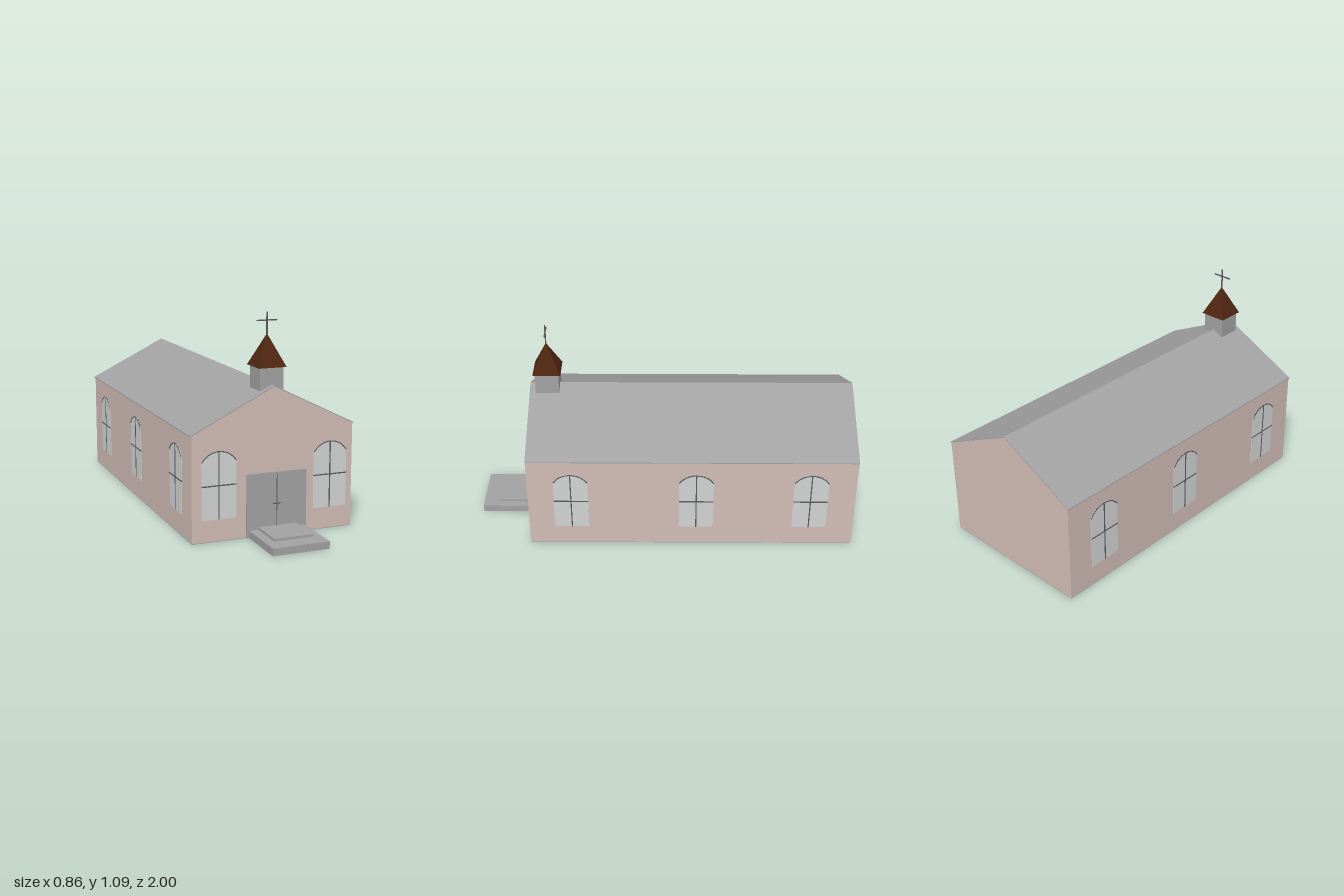
import * as THREE from 'three';

const mat = (name, color, side = THREE.FrontSide) => {
  const m = new THREE.MeshStandardMaterial({ color, side });
  m.name = name;
  return m;
};

export function createModel() {
  const church = new THREE.Group();
  church.name = 'church';

  const pink = mat('wall pink', 0xd2bdb6);
  const grey = mat('stone grey', 0xa3a2a3);
  const pale = mat('window pale grey', 0xd2d3d3);
  const dark = mat('frame dark grey', 0x5a5a5c);
  const brown = mat('spire brown', 0x4f2611);

  const add = (parent, name, geometry, material, x = 0, y = 0, z = 0) => {
    const mesh = new THREE.Mesh(geometry, material);
    mesh.name = name;
    mesh.position.set(x, y, z);
    parent.add(mesh);
    return mesh;
  };
  // Box given by its lower and upper corners
  const box = (parent, name, material, [x0, y0, z0], [x1, y1, z1]) =>
    add(parent, name, new THREE.BoxGeometry(x1 - x0, y1 - y0, z1 - z0), material,
      (x0 + x1) / 2, (y0 + y1) / 2, (z0 + z1) / 2);
  const extrude = (shape, depth) =>
    new THREE.ExtrudeGeometry(shape, { depth, bevelEnabled: false, curveSegments: 16 });
  const polygon = (points) => new THREE.Shape(points.map(([x, y]) => new THREE.Vector2(x, y)));

  const W = 0.425, EAVE = 0.531, RIDGE = 0.741, BACK = -1, FRONT = 0.71;
  const LENGTH = FRONT - BACK;

  // Gabled hall on a thin floor slab
  const hall = polygon([[-W, 0.003], [W, 0.003], [W, EAVE], [0, RIDGE], [-W, EAVE]]);
  add(church, 'walls', extrude(hall, LENGTH), pink, 0, 0, BACK);
  box(church, 'floor', grey, [-W, 0, BACK], [W, 0.003, FRONT]);

  // Thin roof sheet with a tiny overhang at the eaves
  const E = W + 0.006, t = 0.005, drop = 0.003;
  const sheet = polygon([[-E, EAVE - drop], [0, RIDGE], [E, EAVE - drop],
    [E, EAVE - drop + t], [0, RIDGE + t], [-E, EAVE - drop + t]]);
  add(church, 'roof', extrude(sheet, LENGTH), grey, 0, 0, BACK);

  // Arched window, facing +z before its group is turned
  const HALF = 0.09, SILL = 0.112, SPRING = 0.4, TOP = 0.45;
  const rise = TOP - SPRING;
  const R = (HALF * HALF + rise * rise) / (2 * rise);
  const CY = TOP - R;
  const a0 = Math.asin((SPRING - CY) / R), a1 = Math.PI - a0;
  const paneShape = new THREE.Shape();
  paneShape.moveTo(-HALF, SILL);
  paneShape.lineTo(HALF, SILL);
  paneShape.lineTo(HALF, SPRING);
  paneShape.absarc(0, CY, R, a0, a1, false);
  paneShape.lineTo(-HALF, SILL);
  const archShape = new THREE.Shape();
  archShape.absarc(0, CY, R, a0, a1, false);
  archShape.absarc(0, CY, R - 0.005, a1, a0, true);
  const paneGeometry = extrude(paneShape, 0.003);
  const archGeometry = extrude(archShape, 0.005);

  const addWindow = (name, x, z, turn) => {
    const win = new THREE.Group();
    win.name = name;
    add(win, 'pane', paneGeometry, pale);
    add(win, 'archFrame', archGeometry, dark);
    box(win, 'mullion', dark, [-0.003, SILL, 0], [0.003, TOP - 0.002, 0.005]);
    box(win, 'crossBar', dark, [-HALF, 0.277, 0], [HALF, 0.283, 0.005]);
    win.position.set(x, 0, z);
    win.rotation.y = turn;
    church.add(win);
  };
  addWindow('frontWindowRight', -0.287, FRONT, 0);
  addWindow('frontWindowLeft', 0.303, FRONT, 0);
  for (const z of [0.484, -0.17, -0.766]) {
    addWindow('sideWindowLeft', W, z, Math.PI / 2);
    addWindow('sideWindowRight', -W, z, -Math.PI / 2);
  }

  // Double door with handles
  const DX = 0.015;
  box(church, 'door', grey, [DX - 0.159, 0, FRONT], [DX + 0.159, 0.32, FRONT + 0.008]);
  box(church, 'doorGap', dark, [DX - 0.002, 0.05, FRONT], [DX + 0.002, 0.31, FRONT + 0.009]);
  for (const s of [-1, 1]) {
    const handle = new THREE.Group();
    handle.name = 'doorHandle';
    const bar = add(handle, 'handleBar', new THREE.CylinderGeometry(0.002, 0.002, 0.018, 8), dark, s * 0.014, 0.163, 0.014);
    bar.rotation.z = Math.PI / 2;
    const stem = add(handle, 'handleStem', new THREE.CylinderGeometry(0.003, 0.003, 0.008, 8), dark, s * 0.008, 0.163, 0.011);
    stem.rotation.x = Math.PI / 2;
    handle.position.set(DX, 0, FRONT);
    church.add(handle);
  }

  // Entrance steps
  box(church, 'lowerStep', grey, [-0.131, 0, FRONT], [0.163, 0.037, 1]);
  box(church, 'upperStep', grey, [-0.083, 0.037, FRONT], [0.122, 0.05, 0.91]);

  // Steeple: square tower, pyramid spire and cross
  const steeple = new THREE.Group();
  steeple.name = 'steeple';
  steeple.position.set(0, 0, 0.615);
  church.add(steeple);
  box(steeple, 'tower', grey, [-0.062, 0.71, -0.062], [0.062, 0.828, 0.062]);
  const spireGeometry = new THREE.ConeGeometry(0.073 * Math.SQRT2, 0.158, 4, 1).rotateY(Math.PI / 4).toNonIndexed();
  spireGeometry.computeVertexNormals();
  add(steeple, 'spire', spireGeometry, brown, 0, 0.828 + 0.079, 0);
  box(steeple, 'crossPost', dark, [-0.003, 0.975, -0.003], [0.003, 1.09, 0.003]);
  box(steeple, 'crossArm', dark, [-0.053, 1.047, -0.003], [0.053, 1.053, 0.003]);

  return church;
}
